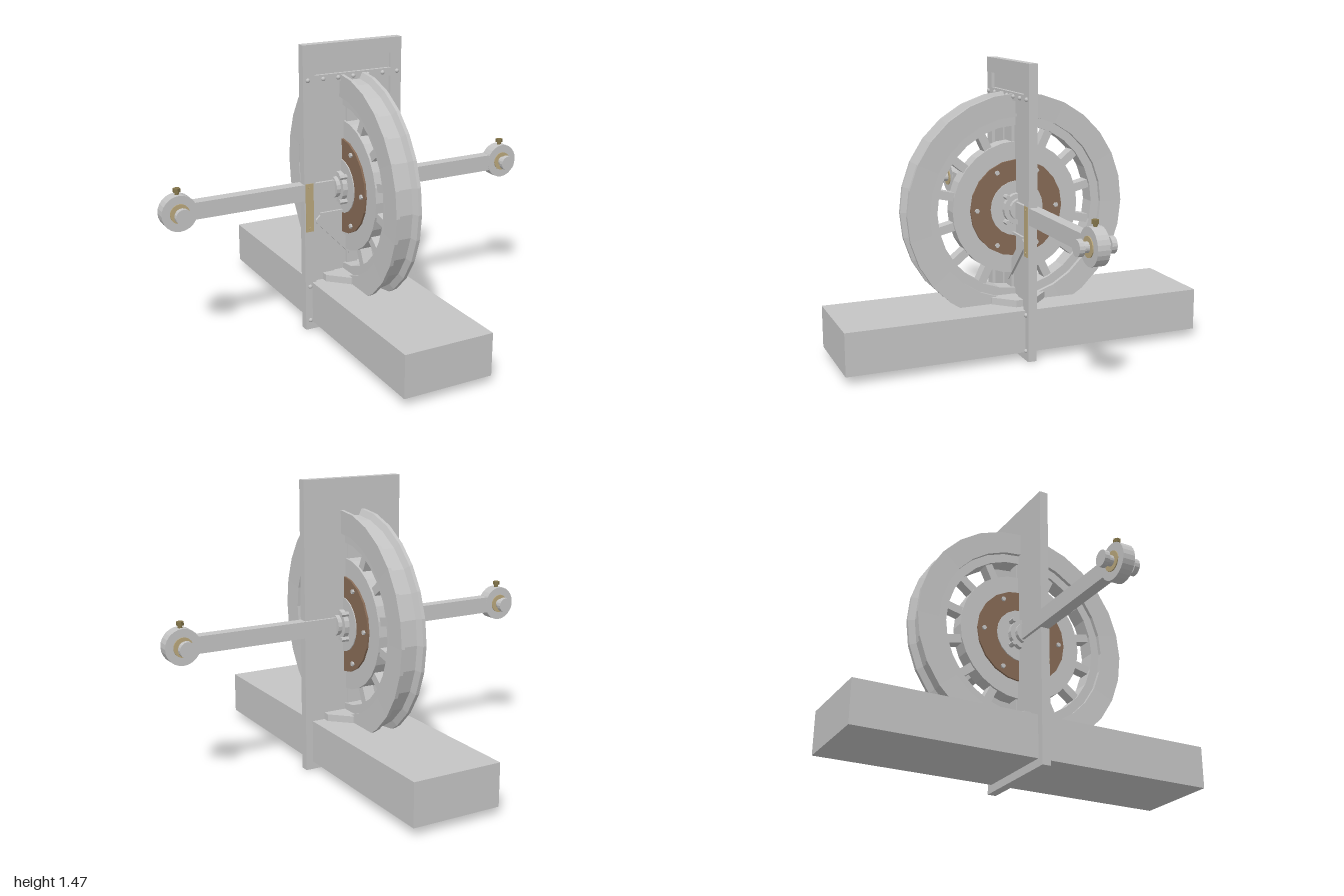
import * as THREE from 'three';

const AXLE_Y = 0.735;

export function createModel() {
  const root = new THREE.Group();
  root.name = 'grooveWheelStand';
  const mat = (name, color) => Object.assign(new THREE.MeshStandardMaterial({ color }), { name });
  const steel = mat('steel', 0xc4c4c4);
  const brown = mat('brownRing', 0x866a55);
  const tan = mat('tanBrass', 0xb9a77c);
  const brass = mat('darkBrass', 0x82744a);

  const add = (parent, name, geo, material, x = 0, y = 0, z = 0) => {
    const m = new THREE.Mesh(geo, material);
    m.name = name;
    m.position.set(x, y, z);
    parent.add(m);
    return m;
  };
  const box = (w, h, d) => new THREE.BoxGeometry(w, h, d);
  const flat = (geo) => {
    const g = geo.index ? geo.toNonIndexed() : geo;
    g.computeVertexNormals();
    return g;
  };
  // Faceted cylinders along each axis
  const cylY = (r, h, n = 16) => flat(new THREE.CylinderGeometry(r, r, h, n));
  const cylX = (r, h, n = 16) => cylY(r, h, n).rotateZ(Math.PI / 2);
  const cylZ = (r, h, n = 16) => cylY(r, h, n).rotateX(Math.PI / 2);
  // Ring of revolution about x from [radius, x] points, counter-clockwise
  const ringX = (pts, n) => flat(new THREE.LatheGeometry(
    [...pts, pts[0]].map(([r, h]) => new THREE.Vector2(r, h)), n)).rotateZ(Math.PI / 2);
  const poly = (pts) => new THREE.Shape(pts.map(([x, y]) => new THREE.Vector2(x, y)));
  const rect = (x, y0, y1) => poly([[-x, y0], [x, y0], [x, y1], [-x, y1]]);
  const slab = (shape, depth, holes = []) => {
    shape.holes.push(...holes);
    return new THREE.ExtrudeGeometry(shape, { depth, bevelEnabled: false });
  };

  // Long base beam and octagonal foot pad
  add(root, 'baseBeam', box(0.465, 0.215, 1.875), steel, 0, 0.1475, 0);
  const pad = poly([[-0.165, -0.05], [-0.07, -0.145], [0.07, -0.145], [0.165, -0.05],
    [0.165, 0.05], [0.07, 0.145], [-0.07, 0.145], [-0.165, 0.05]]);
  add(root, 'footPad', slab(pad, 0.035).rotateX(-Math.PI / 2), steel, 0, 0.255, 0);

  // Upright plate: back sheet, slotted middle layer, raised front frame
  const plate = new THREE.Group();
  plate.name = 'uprightPlate';
  root.add(plate);
  add(plate, 'backSheet', slab(rect(0.27, 0, 1.465), 0.02), steel, 0, 0, -0.015);
  add(plate, 'slottedPanel', slab(rect(0.27, 0, 1.465), 0.008, [rect(0.1, 0.05, 1.21)]), steel, 0, 0, 0.005);
  add(plate, 'frontFrame', slab(rect(0.27, 0, 1.465), 0.017,
    [rect(0.21, 1.315, 1.39), rect(0.21, 0.045, 1.275)]), steel, 0, 0, 0.013);
  add(plate, 'crossBrace', box(0.36, 0.012, 0.012), steel, 0, 0.609, 0.019);
  for (const s of [-1, 1]) {
    const p = [[0.21, 0.575], [0.175, 0.61], [0, 0.435], [0, 0.355]];
    const brace = poly(p.map(([x, y]) => [s * x, y]));
    add(plate, 'diagonalBrace', slab(brace, 0.012), steel, 0, 0, 0.013);
    add(plate, 'brassStrip', box(0.042, 0.25, 0.006), tan, s * 0.243, 0.655, 0.031);
    for (const y of [0.55, 0.76])
      add(plate, 'stripRivet', cylZ(0.006, 0.004, 8), tan, s * 0.243, y, 0.036);
  }
  // Rivet row and lower rivets
  const rivet = new THREE.SphereGeometry(0.011, 10, 6);
  for (let i = -3; i <= 3; i++)
    add(plate, 'rivet', rivet, steel, i * 0.0817, 1.295, 0.031);
  for (const s of [-1, 1]) for (const y of [0.05, 0.235])
    add(plate, 'rivet', rivet, steel, s * 0.245, y, 0.031);

  // Grooved wheel turning about x
  const wheel = new THREE.Group();
  wheel.name = 'wheel';
  wheel.position.y = AXLE_Y;
  root.add(wheel);
  add(wheel, 'groovedRim', ringX([[0.415, -0.045], [0.46, -0.045], [0.46, -0.065], [0.575, -0.068],
    [0.575, -0.05], [0.545, -0.035], [0.545, 0.035], [0.575, 0.05], [0.575, 0.068],
    [0.46, 0.065], [0.46, 0.045], [0.415, 0.045]], 28), steel);
  add(wheel, 'disc', cylX(0.335, 0.08, 28), steel);
  for (let i = 0; i < 14; i++) {
    const a = i * Math.PI / 7;
    const spoke = add(wheel, 'spoke', box(0.06, 0.13, 0.042), steel, 0, 0.375 * Math.cos(a), 0.375 * Math.sin(a));
    spoke.rotation.x = a;
  }
  // Hub parts on both sides
  for (const s of [-1, 1]) {
    add(wheel, 'brownRing', ringX([[0.14, -0.005], [0.245, -0.005], [0.245, 0.005], [0.14, 0.005]], 20),
      brown, s * 0.045);
    add(wheel, 'hubDisc', cylX(0.14, 0.02, 20), steel, s * 0.045);
    add(wheel, 'hubCollar', cylX(0.08, 0.03, 16), steel, s * 0.066);
    add(wheel, 'hubBoss', cylX(0.055, 0.035, 16), steel, s * 0.085);
    for (let i = 0; i < 6; i++) {
      const a = Math.PI / 6 + i * Math.PI / 3;
      add(wheel, 'ringBolt', cylX(0.012, 0.012, 6), steel, s * 0.054, 0.212 * Math.cos(a), 0.212 * Math.sin(a));
    }
    for (let i = 0; i < 4; i++) {
      const a = Math.PI / 4 + i * Math.PI / 2;
      add(wheel, 'hubBolt', cylX(0.013, 0.05, 6), steel, s * 0.07, 0.09 * Math.cos(a), 0.09 * Math.sin(a));
    }
  }

  // Side arms with eye ends, pins and caps
  for (const s of [-1, 1]) {
    const arm = new THREE.Group();
    arm.name = s > 0 ? 'leftArm' : 'rightArm';
    arm.position.y = AXLE_Y;
    root.add(arm);
    const x = s * 0.911;
    add(arm, 'bar', box(0.77, 0.083, 0.058), steel, s * 0.465);
    add(arm, 'eyeEnd', cylZ(0.088, 0.06, 24), steel, x);
    add(arm, 'bushing', cylZ(0.048, 0.07, 20), tan, x);
    add(arm, 'pin', cylZ(0.025, 0.16, 16), steel, x);
    for (const f of [-1, 1])
      add(arm, 'pinHead', cylZ(0.039, 0.025, 16), steel, x, 0, f * 0.077);
    add(arm, 'capStem', cylY(0.011, 0.03, 8), brass, x, 0.09);
    add(arm, 'cap', cylY(0.018, 0.018, 6), brass, x, 0.108);
  }
  return root;
}
